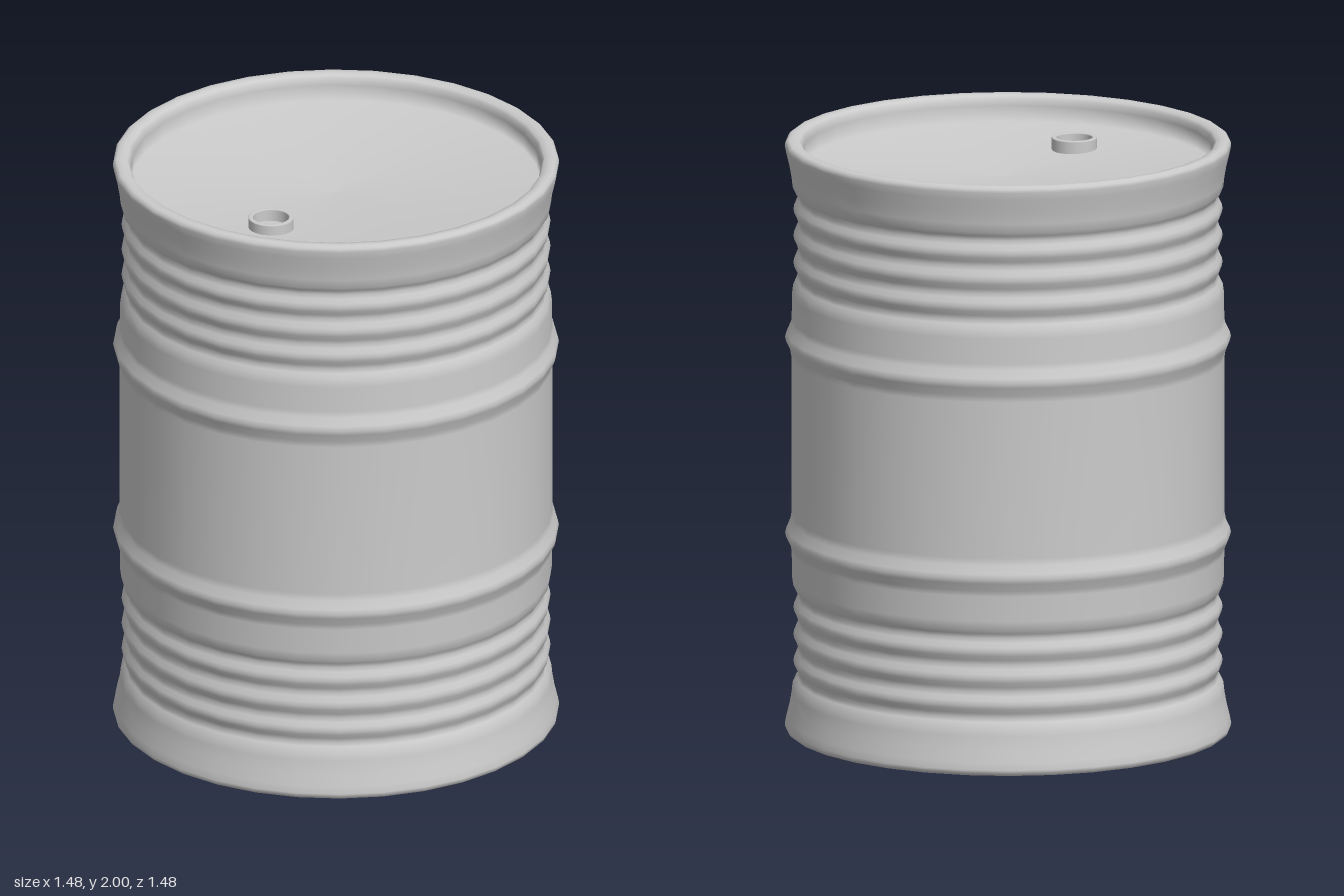
import * as THREE from 'three';

const SIDES = 32;

function lathe(name, pairs, sides, material) {
  const points = pairs.map(([r, y]) => new THREE.Vector2(r, y));
  const mesh = new THREE.Mesh(new THREE.LatheGeometry(points, sides), material);
  mesh.name = name;
  return mesh;
}

// Lower half of the outer wall as [radius, height], from the foot to mid-height
function halfWall() {
  const wall = [[0.728, 0], [0.738, 0.008], [0.74, 0.02], [0.735, 0.045], [0.724, 0.09], [0.717, 0.13], [0.714, 0.16]];
  // narrow grooves with rounded ribs between them
  const grooves = [0.19, 0.278, 0.37, 0.46];
  grooves.forEach((y, i) => {
    wall.push([0.7, y - 0.015], [0.696, y], [0.7, y + 0.015]);
    if (i < grooves.length - 1) {
      const mid = (y + grooves[i + 1]) / 2;
      wall.push([0.709, mid - 0.014], [0.711, mid], [0.709, mid + 0.014]);
    }
  });
  // plain band, rolling hoop, start of the plain middle
  wall.push([0.712, 0.49], [0.716, 0.52], [0.717, 0.605], [0.721, 0.625], [0.735, 0.652],
    [0.739, 0.668], [0.735, 0.684], [0.722, 0.712], [0.718, 0.735]);
  return wall;
}

export function createModel() {
  const group = new THREE.Group();
  group.name = 'barrel';
  const metal = new THREE.MeshStandardMaterial({ color: 0xcccccc });

  // Wall mirrored about mid-height, then over the rim and down to the recessed lid
  const lower = halfWall();
  const upper = lower.map(([r, y]) => [r, 2 - y]).reverse();
  const rimAndLid = [[0.71, 2], [0.692, 1.996], [0.684, 1.985], [0.68, 1.965], [0.68, 1.91], [0, 1.875]];
  group.add(lathe('barrelShell', [...lower, ...upper, ...rimAndLid], SIDES, metal));

  // Flat bottom
  const base = new THREE.Mesh(new THREE.CircleGeometry(0.728, SIDES), metal);
  base.name = 'barrelBottom';
  base.rotation.x = Math.PI / 2;
  group.add(base);

  // Open filler neck on the lid; doubled corner points keep its edges crisp
  const neck = lathe('fillerNeck', [
    [0.075, -0.02], [0.075, 0.044], [0.075, 0.046], [0.073, 0.048],
    [0.062, 0.048], [0.06, 0.046], [0.06, 0.044], [0.06, -0.02],
  ], SIDES, metal);
  neck.position.set(0, 1.887, 0.4);
  group.add(neck);

  return group;
}
